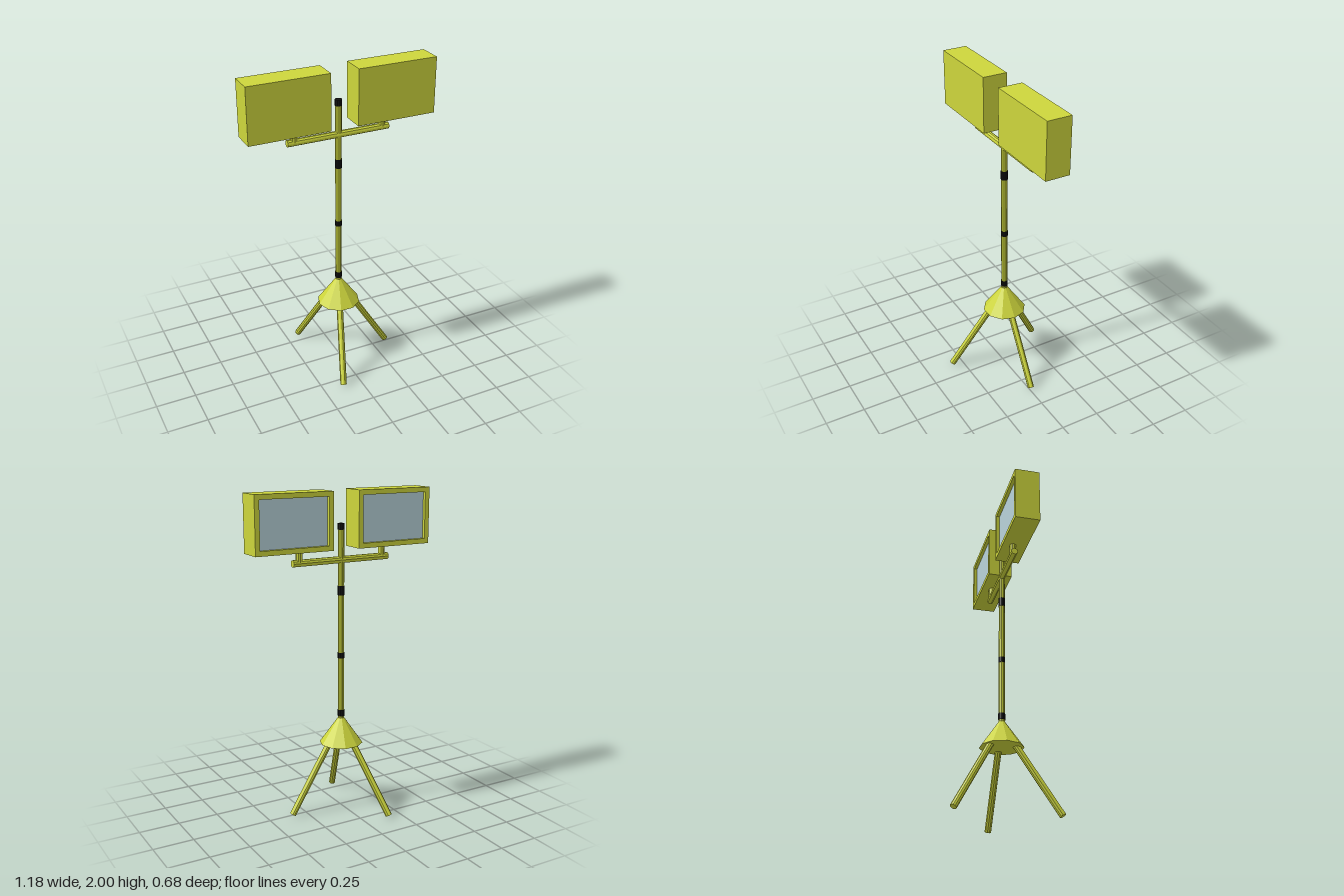
import * as THREE from 'three';

export function createModel() {
  const model = new THREE.Group();
  model.name = 'workLight';

  const paint = (name, color) => {
    const m = new THREE.MeshStandardMaterial({ color, flatShading: true });
    m.name = name;
    return m;
  };
  const yellow = paint('yellow', 0xcdd63c);
  const black = paint('black', 0x111111);
  const glass = paint('paleGlass', 0xb8d2d9);

  const poleZ = -0.012; // the stand sits slightly behind the lamp centres

  const add = (name, geometry, material, parent = model) => {
    const mesh = new THREE.Mesh(geometry, material);
    mesh.name = name;
    parent.add(mesh);
    return mesh;
  };

  // Round bar between two points
  const bar = (name, from, to, radius, material = yellow) => {
    const a = new THREE.Vector3(...from);
    const b = new THREE.Vector3(...to);
    const dir = b.clone().sub(a);
    const mesh = add(name, new THREE.CylinderGeometry(radius, radius, dir.length(), 10), material);
    mesh.position.copy(a).add(b).multiplyScalar(0.5);
    mesh.quaternion.setFromUnitVectors(new THREE.Vector3(0, 1, 0), dir.normalize());
    return mesh;
  };

  // Tripod legs, meeting inside the cone
  const feet = [[0.348, -0.012], [-0.163, -0.324], [-0.12, 0.316]];
  for (const [x, z] of feet) bar('leg', [x, 0.011, z], [0, 0.575, poleZ], 0.0205);

  // Ten-sided hub cone
  const cone = add('hubCone', new THREE.ConeGeometry(0.135, 0.19, 10), yellow);
  cone.position.set(0, 0.525, poleZ);
  cone.rotation.y = Math.PI / 10;

  // Mast with black collars
  bar('mast', [0, 0.58, poleZ], [0, 1.79, poleZ], 0.0195);
  for (const [y0, y1] of [[0.605, 0.645], [0.98, 1.015], [1.373, 1.43], [1.768, 1.805]]) {
    bar('collar', [0, y0, poleZ], [0, y1, poleZ], 0.022, black);
  }

  // Crossbar
  bar('crossbar', [-0.327, 1.588, poleZ], [0.327, 1.588, poleZ], 0.021);

  // Lamp housings, open towards the back
  const width = 0.504, height = 0.345, depth = 0.153, rim = 0.03, recess = 0.025;
  const rect = (Type, w, h) => new Type([
    new THREE.Vector2(-w / 2, -h / 2), new THREE.Vector2(w / 2, -h / 2),
    new THREE.Vector2(w / 2, h / 2), new THREE.Vector2(-w / 2, h / 2),
  ]);
  const frame = rect(THREE.Shape, width, height);
  frame.holes.push(rect(THREE.Path, width - 2 * rim, height - 2 * rim));

  for (const side of [-1, 1]) {
    bar('lampStem', [side * 0.284, 1.588, poleZ], [side * 0.284, 1.67, poleZ], 0.0205);

    const lamp = new THREE.Group();
    lamp.name = side > 0 ? 'leftLamp' : 'rightLamp';
    lamp.position.set(side * 0.338, 2 - height / 2, 0);
    model.add(lamp);

    const body = add('housing', new THREE.BoxGeometry(width, height, depth - recess), yellow, lamp);
    body.position.z = recess / 2;
    const rimMesh = add('rim', new THREE.ExtrudeGeometry(frame, { depth: recess, bevelEnabled: false }), yellow, lamp);
    rimMesh.position.z = -depth / 2;
    const pane = add('pane', new THREE.BoxGeometry(width - 2 * rim, height - 2 * rim, 0.004), glass, lamp);
    pane.position.z = -depth / 2 + recess - 0.002;
  }

  return model;
}
